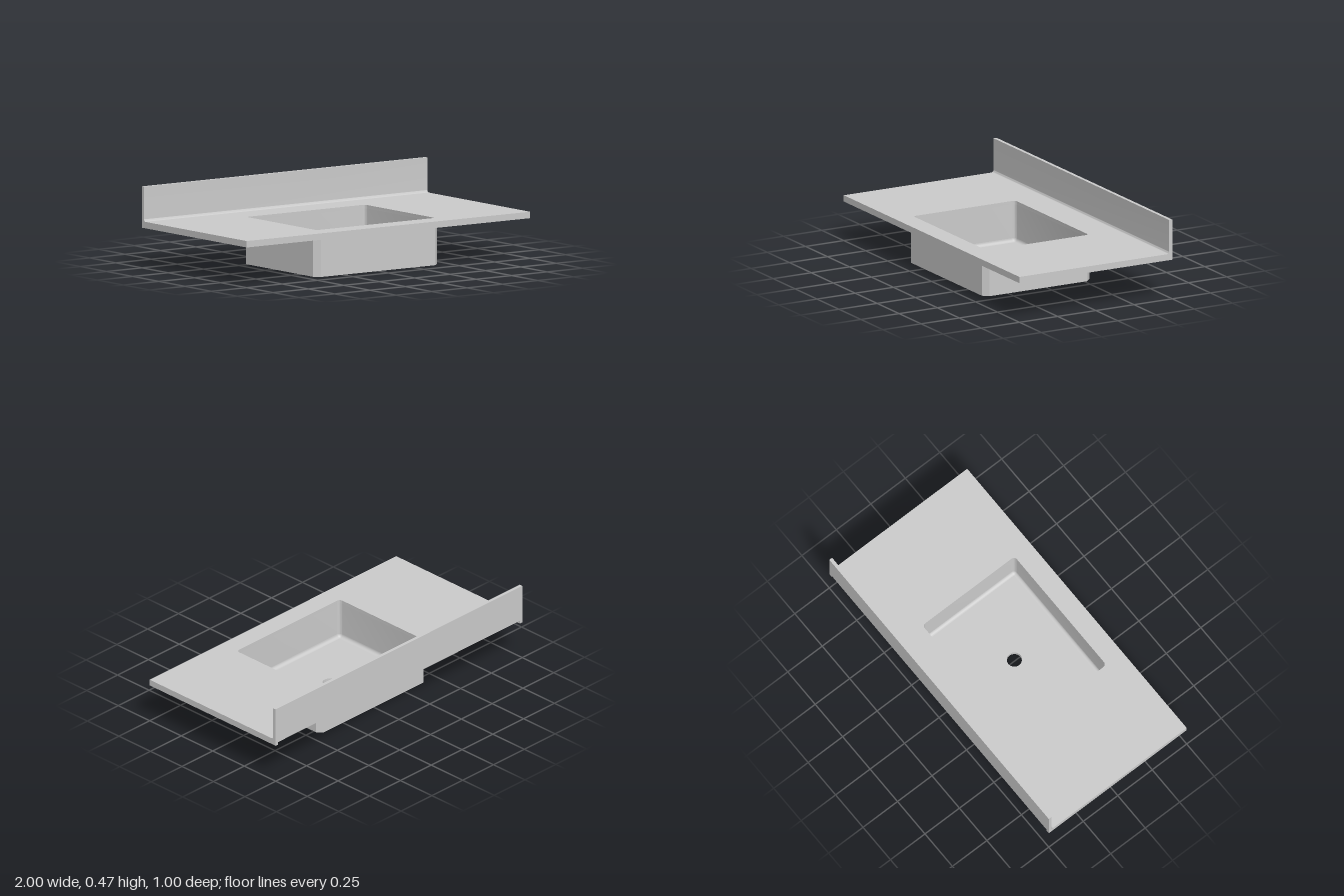
import * as THREE from 'three';
import { toCreasedNormals } from 'three/addons/utils/BufferGeometryUtils.js';

const material = new THREE.MeshStandardMaterial({ color: 0xcccccc });
const TOP = 0.267, UNDER = 0.247, LIP = 0.23, SHEET = 0.02; // heights and sheet thickness
const FLOOR = 0.028, FILLET = 0.02;                         // bowl floor
const HALF_X = 0.418, HALF_Z = 0.334, BOWL_Z = 0.046;       // bowl opening

// Rounded rectangle drawn anticlockwise; one segment gives a chamfered corner
function roundedRect(halfX, halfZ, centreZ, r, segments) {
  const points = [];
  const corners = [[1, 1], [-1, 1], [-1, -1], [1, -1]];
  corners.forEach(([sx, sy], k) => {
    for (let i = 0; i <= segments; i++) {
      const a = (k + i / segments) * Math.PI / 2;
      points.push(new THREE.Vector2(
        sx * (halfX - r) + r * Math.cos(a),
        -centreZ + sy * (halfZ - r) + r * Math.sin(a)));
    }
  });
  return points;
}

// Horizontal plate between two heights, with one hole
function plate(outline, hole, y0, y1) {
  const shape = new THREE.Shape(outline);
  shape.holes.push(new THREE.Path(hole));
  const geometry = new THREE.ExtrudeGeometry(shape, { depth: y1 - y0, bevelEnabled: false });
  geometry.rotateX(-Math.PI / 2).translate(0, y0, 0);
  return toCreasedNormals(geometry, 0.6);
}

// Cove between the bowl walls and floor, lofted from inset rings
function coveGeometry() {
  const steps = 6, positions = [], index = [];
  let count = 0;
  for (let i = 0; i <= steps; i++) {
    const a = i / steps * Math.PI / 2;
    const inset = FILLET * (1 - Math.cos(a));
    const y = FLOOR + FILLET * (1 - Math.sin(a));
    const ring = roundedRect(HALF_X - inset, HALF_Z - inset, BOWL_Z, 0.022 - inset, 6);
    count = ring.length;
    ring.forEach(p => positions.push(p.x, y, -p.y));
  }
  for (let i = 0; i < steps; i++) {
    for (let j = 0; j < count; j++) {
      const a = i * count + j, b = i * count + (j + 1) % count;
      index.push(a, b, a + count, b, b + count, a + count);
    }
  }
  const geometry = new THREE.BufferGeometry();
  geometry.setAttribute('position', new THREE.Float32BufferAttribute(positions, 3));
  geometry.setIndex(index);
  geometry.computeVertexNormals();
  return geometry;
}

// Upright back panel with a small cove at its foot, run along x
function backsplashGeometry() {
  const r = 0.014, front = 0.5 - SHEET;
  const shape = new THREE.Shape();
  shape.moveTo(0.5, UNDER);
  shape.lineTo(0.5, 0.467);
  shape.lineTo(front, 0.467);
  shape.lineTo(front, TOP + r);
  shape.absarc(front - r, TOP + r, r, 0, -Math.PI / 2, true);
  shape.lineTo(front, TOP);
  shape.lineTo(front, UNDER);
  const geometry = new THREE.ExtrudeGeometry(shape, { depth: 2, bevelEnabled: false, curveSegments: 8 });
  geometry.rotateY(Math.PI / 2).translate(-1, 0, 0);
  return toCreasedNormals(geometry, 0.6);
}

export function createModel() {
  const group = new THREE.Group();
  const add = (name, geometry, x = 0, y = 0, z = 0) => {
    const mesh = new THREE.Mesh(geometry, material);
    mesh.name = name;
    mesh.position.set(x, y, z);
    group.add(mesh);
  };

  const opening = roundedRect(HALF_X, HALF_Z, BOWL_Z, 0.022, 6);
  const bowlOutline = roundedRect(0.436, 0.352, 0.052, 0.032, 1);
  const drain = new THREE.Path().absarc(0, -BOWL_Z, 0.043, 0, Math.PI * 2).getPoints(32).slice(0, -1);

  // Worktop sheet, with the bowl opening cut through
  const sheet = [[-1, -0.5], [1, -0.5], [1, 0.48], [-1, 0.48]].map(p => new THREE.Vector2(...p));
  add('worktop', plate(sheet, opening, UNDER, TOP));
  add('backsplash', backsplashGeometry());

  // Folded lips under the front and both ends
  const lipHeight = UNDER - LIP, lipY = (UNDER + LIP) / 2;
  add('frontLip', new THREE.BoxGeometry(2, lipHeight, SHEET), 0, lipY, 0.5 - SHEET / 2);
  for (const [name, side] of [['leftLip', 1], ['rightLip', -1]]) {
    add(name, new THREE.BoxGeometry(SHEET, lipHeight, 1 - SHEET), side * (1 - SHEET / 2), lipY, -SHEET / 2);
  }

  // Bowl
  add('bowlWalls', plate(bowlOutline, opening, FLOOR, UNDER));
  add('bowlFloor', plate(bowlOutline, drain, 0, FLOOR));
  add('bowlCove', coveGeometry());

  return group;
}
